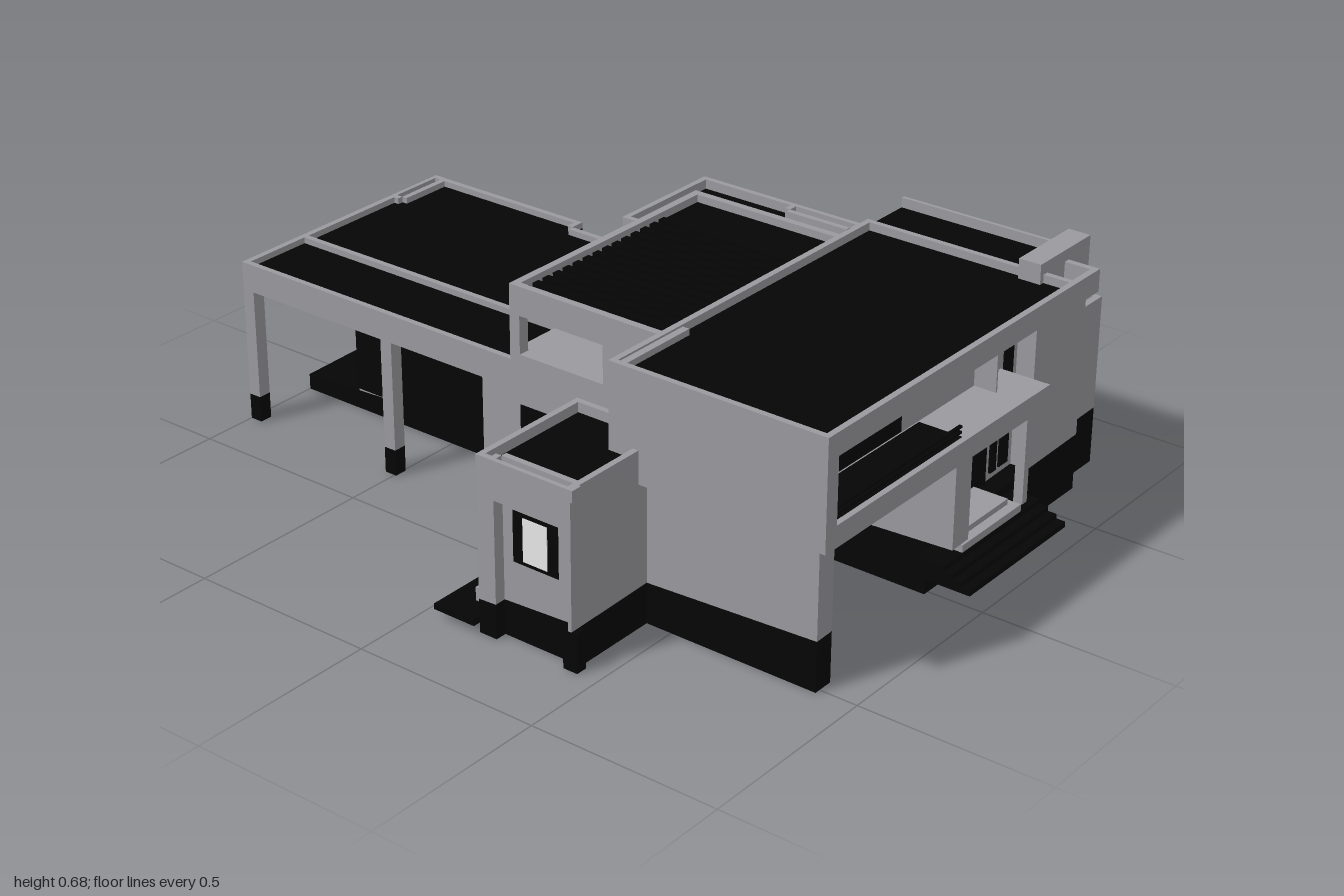
import * as THREE from 'three';

export function createModel() {
  const house = new THREE.Group();
  house.name = 'house';
  const mat = (name, color) => {
    const m = new THREE.MeshStandardMaterial({ color });
    m.name = name;
    return m;
  };
  const wall = mat('wallGrey', 0x99999e);
  const dark = mat('darkBlack', 0x050505);
  const pale = mat('paleGlass', 0xffffff);

  // Height of the sloping plinth at a point
  const ground = (x, z) => 0.095 + 0.05 * z + 0.02 * x;
  const rect = (x0, x1, z0, z1) => [[x0, z0], [x1, z0], [x1, z1], [x0, z1]];

  const add = (name, geo, m) => {
    const mesh = new THREE.Mesh(geo, m);
    mesh.name = name;
    house.add(mesh);
    return mesh;
  };
  const box = (name, m, x0, x1, y0, y1, z0, z1) => {
    const geo = new THREE.BoxGeometry(x1 - x0, y1 - y0, z1 - z0);
    geo.translate((x0 + x1) / 2, (y0 + y1) / 2, (z0 + z1) / 2);
    return add(name, geo, m);
  };

  // Vertical prism over a floor plan; bottom and top are heights or functions of x, z
  const prism = (name, m, plan, bottom, top) => {
    const shape = new THREE.Shape(plan.map(([x, z]) => new THREE.Vector2(x, -z)));
    const geo = new THREE.ExtrudeGeometry(shape, { depth: 1, bevelEnabled: false });
    geo.rotateX(-Math.PI / 2);
    const p = geo.attributes.position;
    for (let i = 0; i < p.count; i++) {
      const level = p.getY(i) < 0.5 ? bottom : top;
      p.setY(i, typeof level === 'function' ? level(p.getX(i), p.getZ(i)) : level);
    }
    geo.computeVertexNormals();
    return add(name, geo, m);
  };

  // Thin walls along the inside of a floor plan
  const rim = (name, m, plan, y0, y1, t = 0.016) => {
    let area = 0;
    plan.forEach(([x, z], i) => {
      const [u, v] = plan[(i + 1) % plan.length];
      area += x * v - u * z;
    });
    const s = Math.sign(area) * t;
    plan.forEach(([x, z], i) => {
      const [u, v] = plan[(i + 1) % plan.length];
      const xs = [x, u, x - Math.sign(v - z) * s], zs = [z, v, z + Math.sign(u - x) * s];
      prism(name, m, rect(Math.min(...xs), Math.max(...xs), Math.min(...zs), Math.max(...zs)), y0, y1);
    });
  };

  // Solid storey with a dark flat roof inside a parapet
  const block = (name, plan, bottom, top, lip = 0.03) => {
    prism(name, wall, plan, bottom, top - lip);
    prism(name + 'Roof', dark, plan, top - lip, top - lip + 0.004).scale.set(0.998, 1, 0.998);
    rim(name + 'Parapet', wall, plan, top - lip, top);
  };
  // Hollow foundation with a floor
  const plinth = (name, plan) => {
    prism(name + 'Floor', dark, plan, (x, z) => ground(x, z) - 0.04, ground);
    rim(name, dark, plan, 0, ground, 0.025);
  };

  // Right wing with a niche in its side
  const rightPlan = [[0.335, -0.21], [0.44, -0.21], [0.44, -0.41], [0.79, -0.41], [0.79, -0.1],
    [0.75, -0.1], [0.75, 0.09], [0.79, 0.09], [0.79, 0.81], [0.45, 0.81], [0.45, 0.345], [0.335, 0.345]];
  plinth('rightWingPlinth', rightPlan);
  block('rightWing', rightPlan, ground, 0.455);
  box('nicheLintel', wall, 0.776, 0.79, 0.355, 0.455, -0.1, 0.09);
  box('nicheWindow', dark, 0.748, 0.752, 0.26, 0.31, -0.04, 0.03);

  // Side windows: a paned one and a dark one
  box('sideGlass', pale, 0.786, 0.791, 0.2, 0.31, 0.575, 0.75);
  for (const z of [0.578, 0.618, 0.66, 0.708, 0.747]) box('sideMullion', dark, 0.786, 0.793, 0.2, 0.31, z - 0.004, z + 0.004);
  for (const y of [0.203, 0.255, 0.307]) box('sideTransom', dark, 0.786, 0.7925, y - 0.003, y + 0.003, 0.575, 0.75);
  for (const z of [0.605, 0.72]) box('sideBlind', dark, 0.786, 0.792, 0.2, 0.235, z - 0.014, z + 0.014);
  box('sideDarkWindow', dark, 0.786, 0.792, 0.2, 0.31, 0.175, 0.35);
  box('rearDarkWindow', dark, 0.53, 0.71, 0.2, 0.31, -0.412, -0.405);
  box('rearSmallWindow', dark, 0.36, 0.42, 0.24, 0.3, -0.212, -0.205);

  // Rear wing with a recessed terrace and a carport on posts
  const rearBody = [[-0.135, -0.82], [0.2, -0.82], [0.2, -0.97], [0.36, -0.97], [0.36, -1], [0.375, -1],
    [0.375, -0.49], [0.335, -0.49], [0.335, -0.11], [-0.35, -0.11], [-0.35, -0.2], [-0.135, -0.2]];
  plinth('rearPlinth', rearBody);
  prism('rearBody', wall, rearBody, ground, 0.37);
  plinth('terraceFloor', rect(-0.135, 0.2, -1, -0.82));
  const rearRoof = [[-0.35, -1], [0.21, -1], [0.21, -0.97], [0.36, -0.97], [0.36, -1], [0.375, -1],
    [0.375, -0.49], [0.335, -0.49], [0.335, -0.11], [-0.35, -0.11]];
  block('rearUpper', rearRoof, 0.365, 0.44, 0.02);
  box('rearSlotLintel', wall, 0.21, 0.36, 0.365, 0.44, -1, -0.988);
  box('rearRoofDivider', wall, -0.143, -0.127, 0.42, 0.44, -1, -0.11);
  box('terraceGlazing', dark, -0.13, 0.19, 0.06, 0.365, -0.826, -0.818);
  box('terraceSideLining', dark, 0.196, 0.202, 0.06, 0.365, -0.96, -0.82);
  box('terraceDoor', wall, -0.01, 0.06, 0.06, 0.34, -0.829, -0.824);
  box('carportGlazing', dark, -0.14, -0.133, 0.06, 0.365, -0.82, -0.25);
  box('carportDoor', dark, -0.28, -0.15, 0.08, 0.33, -0.203, -0.196);
  for (const z of [-1, -0.53]) {
    box('carportPost', wall, -0.35, -0.315, 0.07, 0.37, z, z + 0.035);
    box('carportPostFoot', dark, -0.35, -0.315, 0, 0.07, z, z + 0.035);
  }

  // Middle part with the open roof terrace
  const middle = rect(-0.35, 0.36, -0.11, 0.345);
  plinth('middlePlinth', middle);
  prism('middleBody', wall, middle, ground, 0.46);
  box('terraceRoom', wall, 0.23, 0.36, 0.46, 0.61, -0.11, 0.345);
  box('terraceRoomRoof', dark, 0.21, 0.345, 0.611, 0.615, -0.095, 0.33);
  box('terraceCornerPost', wall, -0.35, -0.32, 0.46, 0.56, -0.11, -0.08);
  box('terraceSideWall', wall, -0.35, -0.33, 0.46, 0.56, 0.17, 0.345);
  rim('pergolaFrame', wall, middle, 0.56, 0.635, 0.02);
  for (let i = 0; i < 15; i++) {
    const x = -0.315 + i * 0.0365;
    box('pergolaSlat', dark, x - 0.0105, x + 0.0105, 0.59, 0.62, -0.1, 0.335);
  }
  box('leftWindow', dark, -0.352, -0.346, 0.24, 0.33, -0.08, 0.05);

  // Upper front storey with its balcony
  const frontRoof = rect(-0.545, 0.45, 0.345, 0.935);
  prism('frontUpperBody', wall, rect(-0.545, 0.45, 0.345, 0.8), 0.37, 0.6);
  block('frontUpper', frontRoof, 0.592, 0.65, 0.025);
  box('roofCornerStep', wall, -0.53, -0.3, 0.625, 0.645, 0.36, 0.38);
  box('balconyLeftWall', wall, -0.545, -0.505, 0.37, 0.6, 0.8, 0.935);
  box('balconySlab', wall, -0.545, 0.35, 0.37, 0.425, 0.8, 0.935);
  box('balconyDeck', dark, -0.505, 0, 0.424, 0.427, 0.805, 0.92);
  box('balconyWindow', dark, -0.505, -0.07, 0.43, 0.56, 0.795, 0.804);
  box('balconyLightSlot', dark, -0.07, 0.24, 0.582, 0.592, 0.797, 0.804);
  for (const y of [0.438, 0.452]) box('balconyRail', dark, -0.505, 0, y - 0.003, y + 0.003, 0.912, 0.92);
  box('balconyRightWall', wall, 0.235, 0.24, 0.425, 0.6, 0.8, 0.86);
  box('canopyFront', wall, 0.45, 0.545, 0.592, 0.65, 0.918, 0.935);
  box('canopySide', wall, 0.528, 0.545, 0.592, 0.65, 0.84, 0.935);

  // Tall front wall and the stair block behind it
  box('stairBlock', wall, 0.45, 0.62, 0.42, 0.62, 0.335, 0.8);
  box('stairRoof', dark, 0.45, 0.612, 0.62, 0.624, 0.336, 0.8);
  box('stairParapet', wall, 0.61, 0.62, 0.62, 0.65, 0.335, 0.8);
  plinth('towerPlinth', rect(0.42, 0.64, 0.79, 0.85));
  prism('towerWall', wall, rect(0.42, 0.64, 0.79, 0.85), ground, 0.68);

  // Ground floor entrance with porch
  plinth('entrancePlinth', rect(-0.015, 0.45, 0.345, 0.85));
  prism('entranceBody', wall, rect(-0.015, 0.45, 0.345, 0.8), ground, 0.372);
  prism('porchWall', wall, rect(-0.015, 0.05, 0.8, 0.92), ground, 0.372);
  box('entranceGlazing', dark, 0.05, 0.3, 0.13, 0.37, 0.8, 0.806);
  box('entranceDoor', wall, 0.11, 0.185, 0.14, 0.345, 0.804, 0.811);
  box('porchColumn', wall, 0.3, 0.32, 0.12, 0.372, 0.885, 0.91);
  box('porchSideGlazing', dark, 0.32, 0.345, 0.16, 0.37, 0.8, 0.806);
  box('slitWindow', dark, 0.36, 0.4, 0.16, 0.56, 0.797, 0.804);
  box('porchStep', wall, 0.02, 0.27, 0.12, 0.14, 0.8, 0.925);
  box('porchUpperStep', wall, 0.05, 0.25, 0.14, 0.155, 0.8, 0.9);
  for (let i = 0; i < 4; i++) {
    box('frontStep', dark, -0.06, 0.35, 0.07, 0.085 + i * 0.012, 0.85, 1 - i * 0.024);
  }

  // Garage below the balcony, open to the front and without a floor
  const sideWall = rect(-0.515, -0.46, 0.4, 0.9);
  prism('garageSideWall', wall, sideWall, ground, 0.372);
  prism('garageSidePlinth', dark, sideWall, 0, ground);
  box('garageLining', dark, -0.461, -0.455, 0.1, 0.37, 0.4, 0.896);
  const backWall = rect(-0.515, -0.015, 0.345, 0.4);
  prism('garageBackWall', wall, backWall, ground, 0.372);
  prism('garageBackPlinth', dark, backWall, 0, ground);
  box('garageBackPanel', dark, -0.46, -0.015, 0.325, 0.37, 0.4, 0.406);
  box('garageCeiling', dark, -0.46, -0.015, 0.366, 0.371, 0.4, 0.92);

  // Small left annex with a side niche, back door and steps
  const annex = [[-0.78, 0.16], [-0.43, 0.16], [-0.43, 0.43], [-0.78, 0.43], [-0.78, 0.42],
    [-0.75, 0.42], [-0.75, 0.21], [-0.78, 0.21]];
  plinth('annexPlinth', annex);
  block('annex', annex, ground, 0.455);
  box('annexLintel', wall, -0.78, -0.768, 0.355, 0.455, 0.21, 0.42);
  box('annexWindow', dark, -0.752, -0.746, 0.2, 0.33, 0.24, 0.37);
  box('annexGlass', pale, -0.754, -0.75, 0.21, 0.32, 0.27, 0.34);
  box('annexDoor', dark, -0.7, -0.52, 0.11, 0.34, 0.157, 0.163);
  box('annexDoorGlass', pale, -0.68, -0.6, 0.12, 0.32, 0.155, 0.158);
  box('annexPad', dark, -0.8, -0.35, 0.025, 0.04, 0.04, 0.16);
  box('annexStep', wall, -0.73, -0.4, 0.04, 0.075, 0.105, 0.16);
  box('annexUpperStep', wall, -0.7, -0.43, 0.075, 0.1, 0.13, 0.16);

  return house;
}
